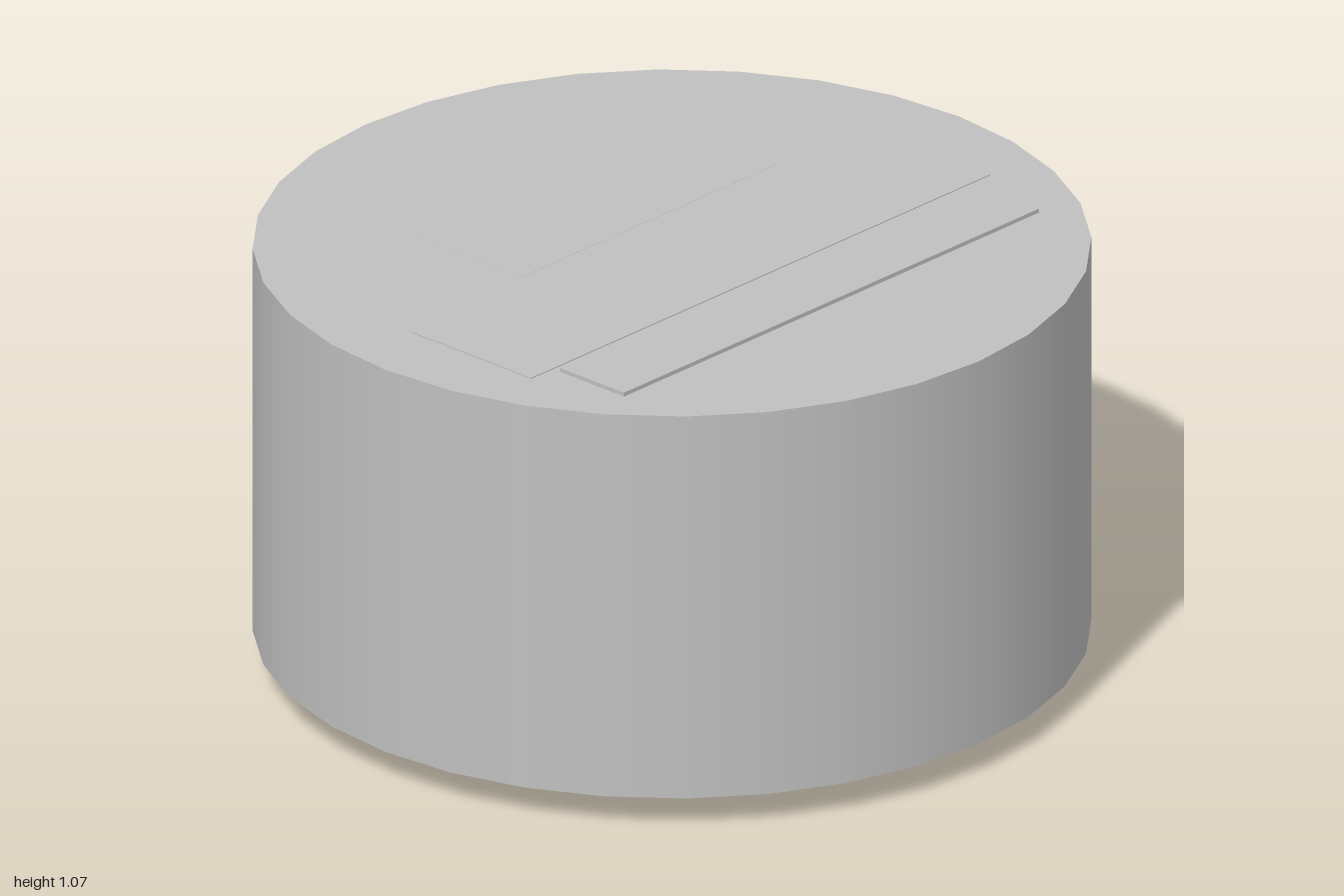
import * as THREE from 'three';

const CENTRE_Z = 0.015;

// outline of a rectangle with cut corners, counter-clockwise
function cutRect(w, h, cut) {
  const x = w / 2, y = h / 2;
  return [[x, -y + cut], [x, y - cut], [x - cut, y], [-x + cut, y],
    [-x, y - cut], [-x, -y + cut], [-x + cut, -y], [x - cut, -y]];
}

// open-backed bevelled tray rising along +z: straight wall, bevel, optional face
function bevelledTray(w, h, cut, wall, bevel, inset, innerCut, withFace) {
  const rings = [
    [cutRect(w, h, cut), 0],
    [cutRect(w, h, cut), wall],
    [cutRect(w - 2 * inset, h - 2 * inset, innerCut), wall + bevel],
  ];
  const pos = [], index = [];
  for (const [ring, z] of rings) for (const [x, y] of ring) pos.push(x, y, z);
  for (let r = 0; r < 2; r++) {
    for (let i = 0; i < 8; i++) {
      const a = r * 8 + i, b = r * 8 + (i + 1) % 8;
      index.push(a, b, b + 8, a, b + 8, a + 8);
    }
  }
  if (withFace) for (let i = 1; i < 7; i++) index.push(16, 16 + i, 17 + i);
  const indexed = new THREE.BufferGeometry();
  indexed.setAttribute('position', new THREE.Float32BufferAttribute(pos, 3));
  indexed.setIndex(index);
  const geometry = indexed.toNonIndexed();
  geometry.computeVertexNormals();
  return geometry;
}

export function createModel() {
  const model = new THREE.Group();
  model.name = 'drumHousing';
  const grey = new THREE.MeshStandardMaterial({ color: 0xc0c0c0, side: THREE.DoubleSide });
  grey.name = 'grey';

  function add(name, geometry, x, y, z) {
    const mesh = new THREE.Mesh(geometry, grey);
    mesh.name = name;
    mesh.position.set(x, y, z);
    model.add(mesh);
    return mesh;
  }

  // round body
  add('body', new THREE.CylinderGeometry(0.98, 0.98, 0.98, 32), 0, 0.57, CENTRE_Z);

  // hollow square foot, open underneath
  const foot = add('foot', bevelledTray(1.1, 1.1, 0.045, 0.06, 0.02, 0.015, 0.04, false), 0, 0, 0.02);
  foot.rotation.x = -Math.PI / 2;

  // bevelled plate on the back
  const back = add('backPlate', bevelledTray(0.39, 0.61, 0.04, 0.02, 0.035, 0.038, 0.006, true), 0, 0.595, -0.945);
  back.rotation.y = Math.PI;

  // raised bar and nearly flush panels on top
  const panels = [
    ['topBar', 1.42, 0.205, 1.07, 0, 0.422],
    ['topPanel', 1.57, 0.38, 1.0625, 0, 0.108],
    ['rearTopPanel', 0.87, 0.34, 1.0605, 0.055, -0.28],
  ];
  for (const [name, w, d, top, x, z] of panels) {
    const h = top - 1.05;
    add(name, new THREE.BoxGeometry(w, h, d), x, top - h / 2, z);
  }
  return model;
}
